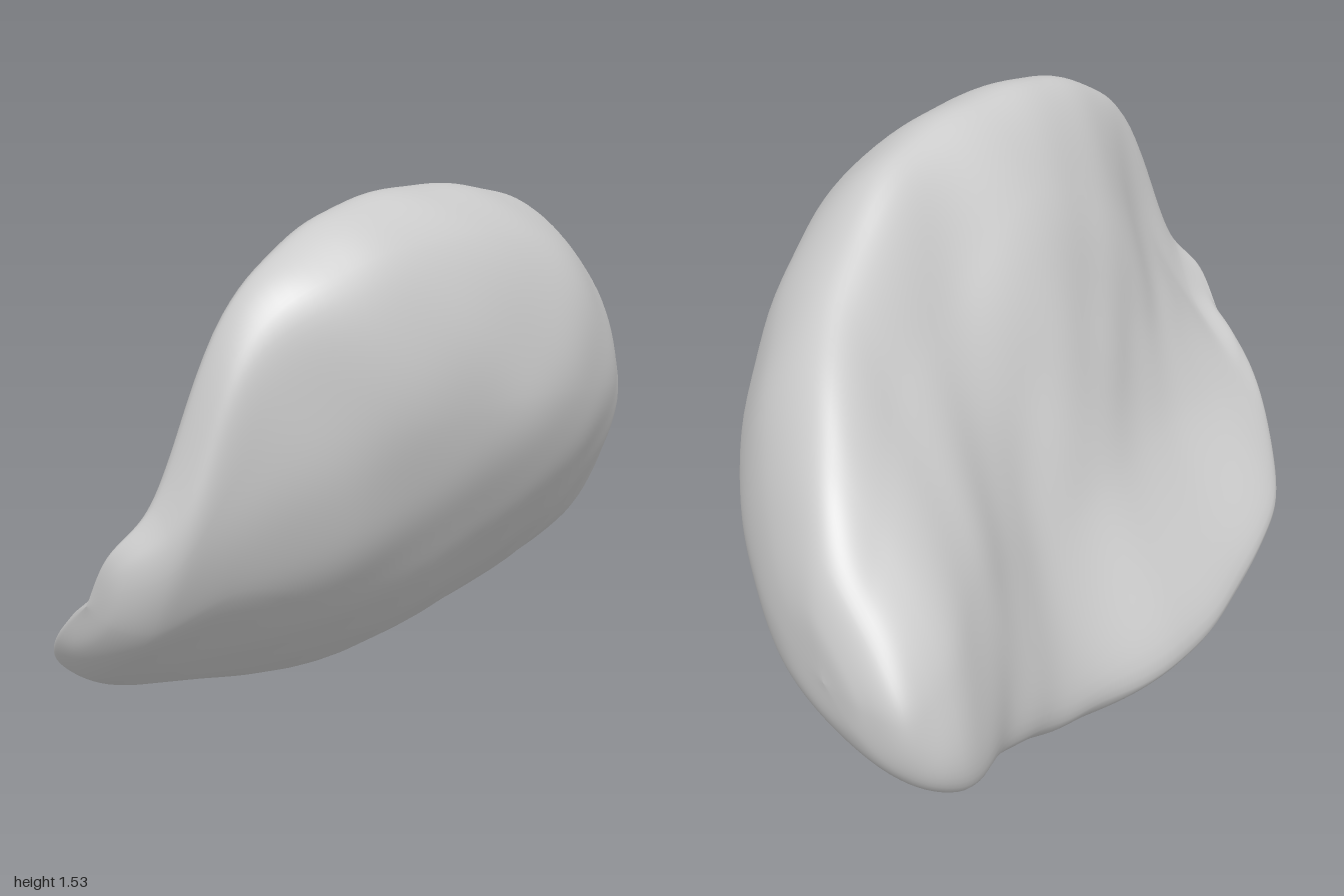
import * as THREE from 'three';

// Cross-sections along x: [x, then z,y pairs: crest, brow, front, underside, foot, back lip, back, shoulder]
const SECTIONS = [
  [-0.90, 0.31, 0.91, 0.37, 0.87, 0.38, 0.77, 0.30, 0.59, 0.02, 0.39, -0.13, 0.38, 0.00, 0.54, 0.20, 0.72],
  [-0.72, 0.36, 1.33, 0.45, 1.28, 0.47, 1.02, 0.37, 0.65, -0.16, 0.23, -0.31, 0.25, -0.04, 0.57, 0.25, 0.99],
  [-0.45, 0.34, 1.50, 0.52, 1.41, 0.57, 1.02, 0.38, 0.57, -0.22, 0.13, -0.41, 0.17, -0.09, 0.60, 0.13, 1.16],
  [-0.10, 0.30, 1.52, 0.51, 1.42, 0.61, 1.02, 0.34, 0.48, -0.29, 0.02, -0.48, 0.11, -0.19, 0.60, 0.08, 1.29],
  [0.25, 0.25, 1.46, 0.47, 1.35, 0.57, 0.97, 0.29, 0.46, -0.31, 0.01, -0.45, 0.11, -0.28, 0.54, 0.01, 1.12],
  [0.55, 0.12, 1.27, 0.33, 1.20, 0.44, 0.90, 0.23, 0.46, -0.25, 0.10, -0.49, 0.21, -0.39, 0.67, -0.12, 1.04],
  [0.80, -0.11, 1.06, 0.11, 1.02, 0.23, 0.80, 0.09, 0.41, -0.25, 0.20, -0.58, 0.27, -0.55, 0.58, -0.34, 0.86],
  [0.94, -0.25, 0.86, -0.09, 0.82, -0.01, 0.67, -0.09, 0.47, -0.30, 0.36, -0.53, 0.37, -0.56, 0.54, -0.42, 0.72],
];
const POINTS = 8, ALONG = 110, AROUND = 96;

const toRing = ([x, ...zy]) =>
  Array.from({ length: POINTS }, (_, j) => new THREE.Vector3(x, zy[2 * j + 1], zy[2 * j]));

// Rounds an end off: a smaller ring, then a single pole
function endCap(ring, pole) {
  const near = ring.map((p) => {
    const q = p.clone().lerp(pole, 0.45);
    q.x = THREE.MathUtils.lerp(p.x, pole.x, 0.8);
    return q;
  });
  return [near, ring.map(() => pole.clone())];
}

// Gentle surface lumps, fading out at the poles
function lump(p) {
  const fade = Math.min(1, (1 - Math.abs(p.x)) * 8);
  const a = Math.sin(9 * p.x + 4 * p.y) * Math.sin(8 * p.y - 5 * p.z + 1);
  const b = Math.sin(17 * p.x - 11 * p.z + 2) * Math.sin(15 * p.y + 6 * p.x);
  return fade * (0.005 * a + 0.004 * b);
}

function stoneGeometry() {
  const rings = SECTIONS.map(toRing);
  const [leftNear, leftPole] = endCap(rings[0], new THREE.Vector3(-1, 0.66, 0.18));
  const [rightNear, rightPole] = endCap(rings[rings.length - 1], new THREE.Vector3(1, 0.56, -0.34));
  const all = [leftPole, leftNear, ...rings, rightNear, rightPole];

  // Lengthwise curves through matching points, then closed rings across them
  const rails = Array.from({ length: POINTS }, (_, j) => new THREE.CatmullRomCurve3(all.map((r) => r[j])));
  const positions = [], index = [];
  for (let i = 0; i <= ALONG; i++) {
    const ring = rails.map((c) => c.getPoint(i / ALONG));
    const atPole = i === 0 || i === ALONG;
    const loop = new THREE.CatmullRomCurve3(ring, true);
    const centre = ring.reduce((s, p) => s.add(p), new THREE.Vector3()).divideScalar(POINTS);
    for (let j = 0; j < AROUND; j++) {
      const p = atPole ? centre.clone() : loop.getPoint(j / AROUND);
      if (!atPole) p.addScaledVector(p.clone().sub(centre).normalize(), lump(p));
      p.y = Math.max(0, p.y);
      positions.push(p.x, p.y, p.z);
      if (i === ALONG) continue;
      const a = i * AROUND + j, b = i * AROUND + (j + 1) % AROUND;
      if (i > 0) index.push(a, b, a + AROUND);
      if (i < ALONG - 1) index.push(b, b + AROUND, a + AROUND);
    }
  }
  const geometry = new THREE.BufferGeometry();
  geometry.setAttribute('position', new THREE.Float32BufferAttribute(positions, 3));
  geometry.setIndex(index);
  geometry.computeVertexNormals();
  return geometry;
}

export function createModel() {
  const group = new THREE.Group();
  group.name = 'rock';
  const stone = new THREE.Mesh(stoneGeometry(), new THREE.MeshStandardMaterial({ color: 0xcccccc }));
  stone.name = 'stone';
  group.add(stone);
  return group;
}
